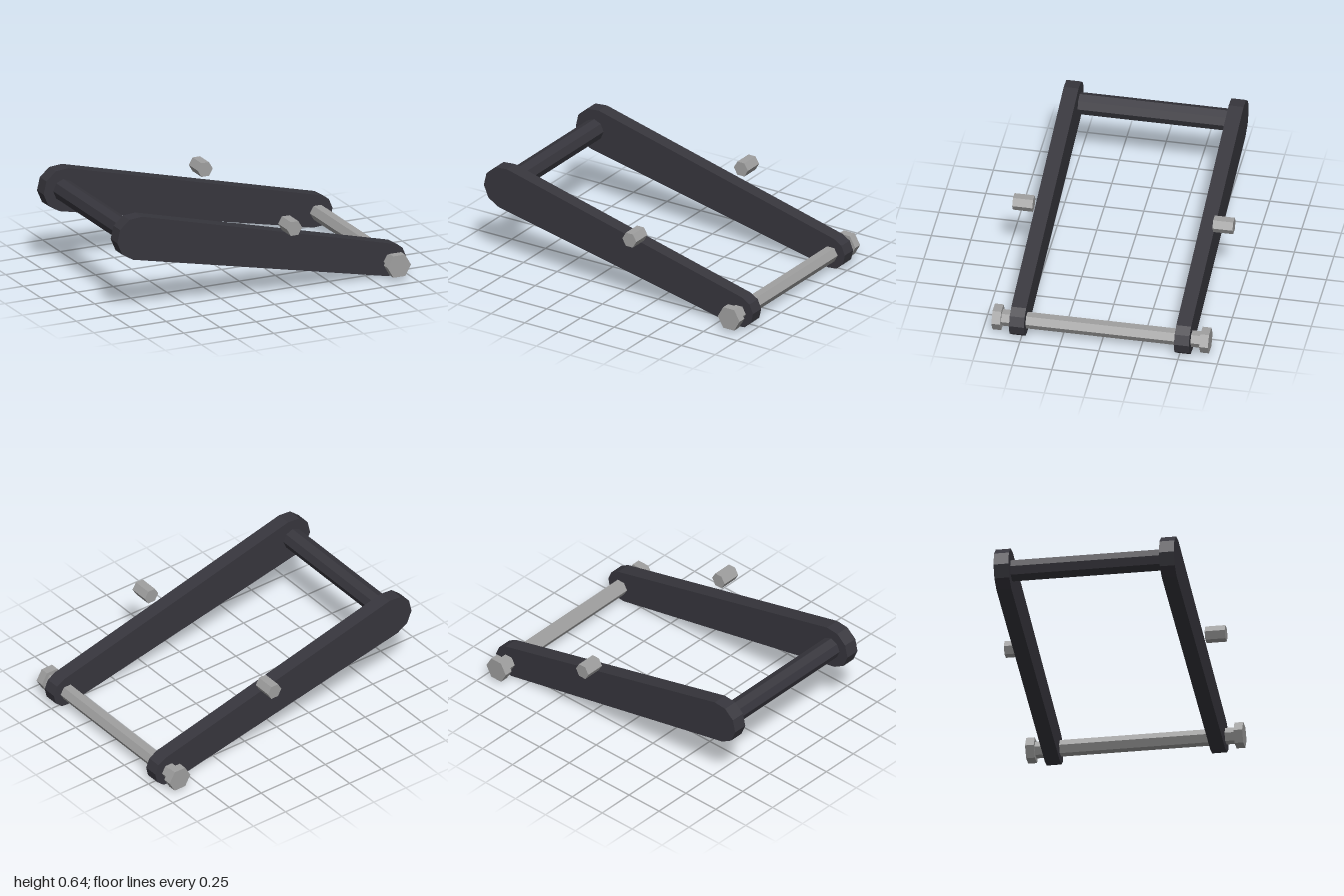
import * as THREE from 'three';

export function createModel() {
  const group = new THREE.Group();
  const dark = new THREE.MeshStandardMaterial({ color: 0x37363d });
  dark.name = 'dark frame';
  const steel = new THREE.MeshStandardMaterial({ color: 0xa0a0a0 });
  steel.name = 'steel';

  const add = (name, geometry, material) => {
    const mesh = new THREE.Mesh(geometry, material);
    mesh.name = name;
    group.add(mesh);
  };

  // Faceted bar along z, with a corner pointing to +x
  const bar = (name, sides, radius, x, y, z0, z1, material) => {
    const g = new THREE.CylinderGeometry(radius, radius, z1 - z0, sides).toNonIndexed();
    g.computeVertexNormals();
    g.rotateY(Math.PI / 2).rotateX(Math.PI / 2).translate(x, y, (z0 + z1) / 2);
    add(name, g, material);
  };

  // Tapered arm outline: two five-sided half rounds joined by straight edges
  const upper = { x: -0.86, y: 0.51, r: 0.14 };
  const lower = { x: 0.895, y: 0.105, r: 0.105 };
  const start = THREE.MathUtils.degToRad(77);
  const outline = [];
  [upper, lower].forEach((end, k) => {
    for (let i = 0; i <= 5; i++) {
      const a = start + Math.PI * (k + i / 5);
      outline.push(new THREE.Vector2(end.x + end.r * Math.cos(a), end.y + end.r * Math.sin(a)));
    }
  });
  const armShape = new THREE.Shape(outline);

  // Arms, pins and bolt heads on both sides
  for (const [side, s] of [['front', 1], ['back', -1]]) {
    const arm = new THREE.ExtrudeGeometry(armShape, { depth: 0.094, bevelEnabled: false });
    arm.translate(0, 0, s * 0.522 - 0.047);
    add(side + 'Arm', arm, dark);
    const span = (a, b) => (s > 0 ? [a, b] : [-b, -a]);
    bar(side + 'Pin', 6, 0.052, 0.165, 0.46, ...span(0.57, 0.697), steel);
    bar(side + 'BoltHead', 6, 0.081, 0.895, 0.1, ...span(0.63, 0.685), steel);
  }

  // Bars joining the arms
  bar('crossBar', 8, 0.07, -0.863, 0.51, -0.48, 0.48, dark);
  bar('axleRod', 6, 0.052, 0.895, 0.1, -0.635, 0.635, steel);

  return group;
}
